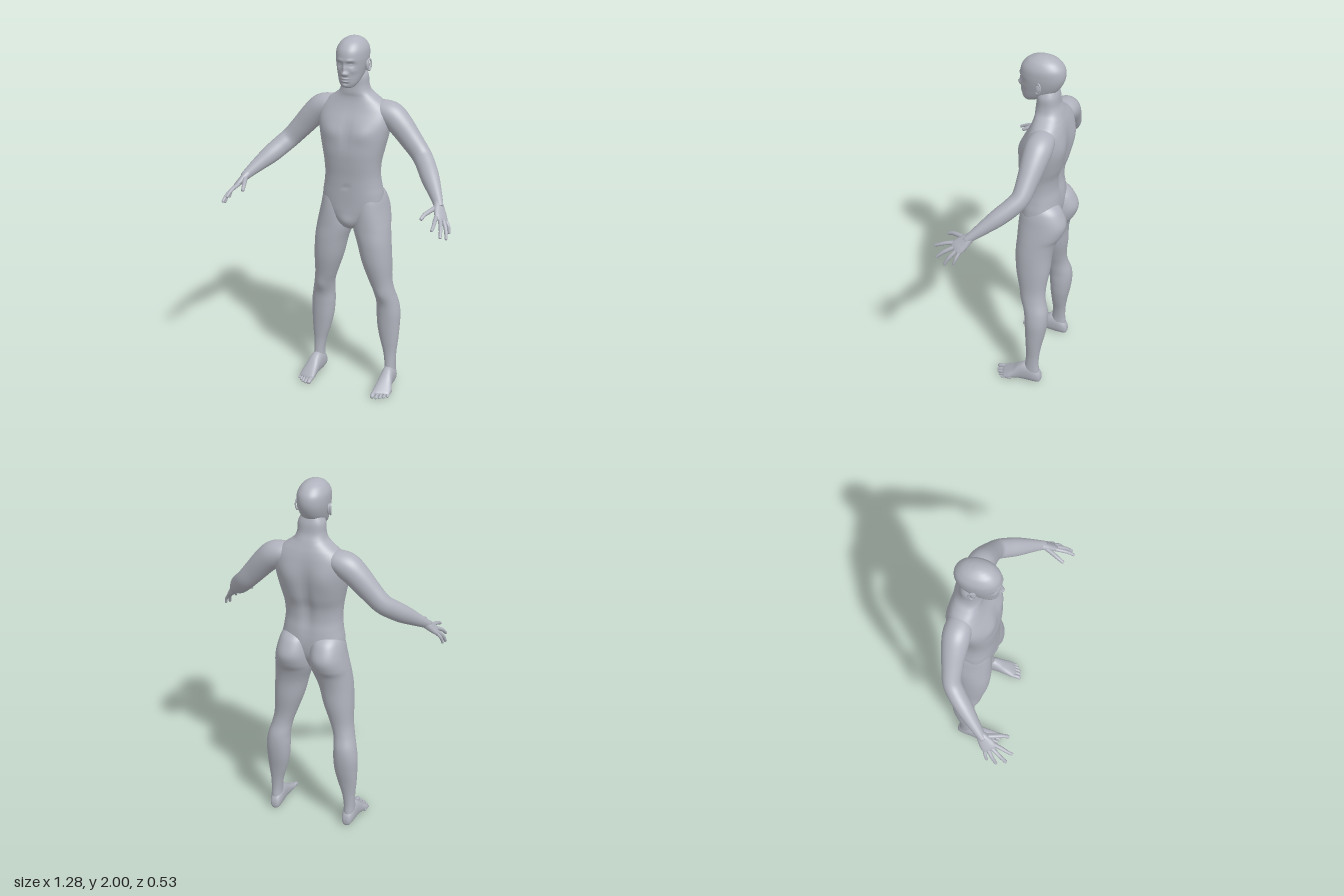
import * as THREE from 'three';

const V = (x, y, z) => new THREE.Vector3(x, y, z);
const spow = (v, e) => Math.sign(v) * Math.abs(v) ** e;

// Catmull-Rom interpolation of every column of a list of rows
function refine(rows, steps) {
  const out = [], n = rows.length;
  for (let i = 0; i < n - 1; i++) {
    const [a, b, c, d] = [rows[Math.max(i - 1, 0)], rows[i], rows[i + 1], rows[Math.min(i + 2, n - 1)]];
    for (let k = 0; k < steps; k++) {
      const t = k / steps;
      out.push(b.map((_, j) => 0.5 * (2 * b[j] + (c[j] - a[j]) * t + (2 * a[j] - 5 * b[j] + 4 * c[j] - d[j]) * t * t
        + (3 * b[j] - a[j] - 3 * c[j] + d[j]) * t ** 3)));
    }
  }
  out.push(rows[n - 1]);
  return out;
}

// Closed skin through refined rows; place(row, cos, sin, i, rows) gives each point
function loft(rows, place, { sides = 32, steps = 6, power = 2, side = 1 } = {}) {
  const r = refine(rows, steps), pos = [], idx = [], n = r.length;
  r.forEach((row, i) => {
    for (let j = 0; j < sides; j++) {
      const a = j / sides * Math.PI * 2;
      const p = place(row, spow(Math.cos(a), 2 / power), spow(Math.sin(a), 2 / power), i, r);
      pos.push(p.x * side, p.y, p.z);
    }
  });
  for (let i = 0; i < n - 1; i++) for (let j = 0; j < sides; j++) {
    const a = i * sides + j, b = i * sides + (j + 1) % sides;
    idx.push(a, b, a + sides, b, b + sides, a + sides);
  }
  // end caps
  [0, n - 1].forEach((ring) => {
    const c = V(0, 0, 0), base = ring * sides, id = pos.length / 3;
    for (let j = 0; j < sides; j++) c.add(V(...pos.slice((base + j) * 3, (base + j) * 3 + 3)));
    c.divideScalar(sides);
    pos.push(c.x, c.y, c.z);
    for (let j = 0; j < sides; j++) {
      const a = base + j, b = base + (j + 1) % sides;
      ring ? idx.push(a, b, id) : idx.push(b, a, id);
    }
  });
  // turn the skin outward if its volume comes out negative
  let vol = 0;
  const at = (i) => V(pos[i * 3], pos[i * 3 + 1], pos[i * 3 + 2]);
  for (let i = 0; i < idx.length; i += 3) vol += at(idx[i]).dot(at(idx[i + 1]).cross(at(idx[i + 2])));
  if (vol < 0) idx.reverse();
  const g = new THREE.BufferGeometry();
  g.setAttribute('position', new THREE.Float32BufferAttribute(pos, 3));
  g.setIndex(idx);
  g.computeVertexNormals();
  return g;
}

// Upright body section: [y, xMin, xMax, zFront, zBack], with bumps [x, y, dz, width, height, facing]
const upright = (bumps = []) => ([y, x0, x1, zf, zb], c, s) => {
  const p = V((x0 + x1) / 2 + c * (x1 - x0) / 2, y, (zf + zb) / 2 + s * (zf - zb) / 2);
  let dz = 0;
  for (const [bx, by, d, w, h, f] of bumps) {
    dz += d * Math.max(0, s * f) * Math.exp(-(((Math.abs(p.x) - bx) / w) ** 2) - ((y - by) / h) ** 2);
  }
  p.z += dz;
  return p;
};

// Limb section: [x, y, z, radius along ref, radius across it]
const limb = (ref) => ([x, y, z, ra, rb], c, s, i, r) => {
  const a = r[Math.max(i - 1, 0)], b = r[Math.min(i + 1, r.length - 1)];
  const dir = V(b[0] - a[0], b[1] - a[1], b[2] - a[2]).normalize();
  const u = ref.clone().addScaledVector(dir, -ref.dot(dir)).normalize();
  return V(x, y, z).addScaledVector(u, c * ra).addScaledVector(dir.cross(u), s * rb);
};

// Finger or toe: rounded, tapering tube along a path of points
function digit(points, r0, r1, side) {
  const n = points.length - 1;
  const rows = points.map((p, i) => { const r = r0 + (r1 - r0) * i / n; return [...p, r, r]; });
  const e = points[n], q = points[n - 1];
  const d = V(e[0] - q[0], e[1] - q[1], e[2] - q[2]).normalize();
  [[0.6, 0.75], [0.95, 0.15]].forEach(([k, f]) =>
    rows.push([e[0] + d.x * r1 * k, e[1] + d.y * r1 * k, e[2] + d.z * r1 * k, r1 * f, r1 * f]));
  return loft(rows, limb(V(0.54, -0.4, -0.74)), { sides: 14, steps: 4, side });
}

export function createModel() {
  const skin = new THREE.MeshStandardMaterial({ color: 0xb0b3bd });
  skin.name = 'grey skin';
  const model = new THREE.Group();
  model.name = 'standingFigure';
  const add = (name, geo) => {
    const m = new THREE.Mesh(geo, skin);
    m.name = name;
    model.add(m);
    return m;
  };
  const sym = (rows) => rows.map(([y, rx, zf, zb]) => [y, -rx, rx, zf, zb]);

  // torso and neck, with chest, navel, spine groove and shoulder blades
  add('torso', loft(sym([
    [0.945, 0.02, -0.05, -0.12], [0.965, 0.05, -0.02, -0.15], [1.0, 0.09, -0.004, -0.175], [1.05, 0.138, 0, -0.2],
    [1.1, 0.168, 0, -0.21], [1.15, 0.168, 0.001, -0.212], [1.2, 0.159, 0.002, -0.208], [1.26, 0.153, 0.004, -0.2],
    [1.33, 0.158, 0.01, -0.205], [1.4, 0.172, 0.013, -0.225], [1.48, 0.19, 0.004, -0.236], [1.55, 0.2, -0.016, -0.238],
    [1.61, 0.19, -0.045, -0.232], [1.65, 0.155, -0.06, -0.223], [1.68, 0.115, -0.066, -0.212],
    [1.705, 0.086, -0.065, -0.202], [1.74, 0.074, -0.068, -0.188], [1.79, 0.07, -0.07, -0.182], [1.83, 0.05, -0.08, -0.17],
  ]), upright([
    [0.09, 1.5, 0.011, 0.06, 0.045, 1], [0, 1.5, -0.006, 0.015, 0.08, 1], [0, 1.2, -0.006, 0.01, 0.012, 1],
    [0, 1.38, 0.018, 0.03, 0.18, -1], [0.1, 1.52, -0.012, 0.055, 0.08, -1], [0, 1.0, 0.008, 0.035, 0.035, 1],
  ]), { sides: 64, power: 2.35 }));

  // head with brow, eyes, nose, lips and chin shaped into it
  add('head', loft(sym([
    [1.744, 0.02, -0.01, -0.045], [1.75, 0.034, 0.003, -0.065], [1.768, 0.048, 0.011, -0.1], [1.79, 0.058, 0.014, -0.14],
    [1.82, 0.067, 0.016, -0.178], [1.86, 0.076, 0.018, -0.202], [1.9, 0.08, 0.021, -0.212], [1.94, 0.077, 0.012, -0.206],
    [1.972, 0.06, -0.014, -0.18], [1.99, 0.037, -0.046, -0.148], [1.998, 0.017, -0.073, -0.117], [2.0, 0.002, -0.093, -0.097],
  ]), upright([
    [0, 1.826, 0.019, 0.013, 0.012, 1], [0, 1.85, 0.011, 0.009, 0.02, 1], [0.014, 1.822, 0.007, 0.007, 0.008, 1],
    [0.032, 1.873, -0.014, 0.016, 0.012, 1], [0.032, 1.871, 0.007, 0.01, 0.006, 1], [0.028, 1.894, 0.005, 0.024, 0.008, 1],
    [0, 1.798, 0.008, 0.019, 0.005, 1], [0, 1.784, 0.008, 0.017, 0.005, 1], [0, 1.772, -0.004, 0.018, 0.005, 1],
    [0, 1.758, 0.004, 0.016, 0.009, 1], [0.046, 1.838, 0.006, 0.014, 0.014, 1],
  ]), { sides: 112, steps: 9, power: 2.15 }));

  for (const [side, word] of [[1, 'left'], [-1, 'right']]) {
    const opt = { side, sides: 40 };

    // ear: filled shell with a raised rim
    const ear = add(word + 'Ear', new THREE.SphereGeometry(1, 20, 14));
    ear.scale.set(0.011, 0.029, 0.016);
    ear.position.set(side * 0.08, 1.853, -0.098);
    const rim = add(word + 'EarRim', new THREE.TorusGeometry(0.021, 0.0045, 10, 28));
    rim.scale.set(0.72, 1.35, 1);
    rim.rotation.set(-0.12, side * 1.15, 0);
    rim.position.set(side * 0.088, 1.855, -0.101);

    // leg, with the buttock at its top
    add(word + 'Leg', loft([
      [1.2, 0.04, 0.12, -0.06, -0.15], [1.16, 0.015, 0.158, -0.03, -0.212], [1.12, 0.006, 0.175, -0.016, -0.243],
      [1.06, 0.002, 0.188, -0.008, -0.265], [1.0, 0.001, 0.2, -0.005, -0.25], [0.95, 0.006, 0.208, -0.004, -0.222],
      [0.87, 0.034, 0.217, -0.002, -0.202], [0.76, 0.062, 0.223, -0.01, -0.195], [0.65, 0.1, 0.225, -0.034, -0.182],
      [0.58, 0.123, 0.236, -0.053, -0.186], [0.51, 0.132, 0.254, -0.073, -0.204], [0.44, 0.132, 0.265, -0.08, -0.206],
      [0.36, 0.138, 0.264, -0.084, -0.196], [0.28, 0.155, 0.26, -0.089, -0.18], [0.2, 0.178, 0.252, -0.093, -0.168],
      [0.13, 0.189, 0.25, -0.088, -0.165], [0.07, 0.19, 0.25, -0.08, -0.17], [0.03, 0.195, 0.245, -0.09, -0.16],
    ], upright([[0.178, 0.57, 0.008, 0.035, 0.045, 1]]), { ...opt, power: 2.15 }));

    // foot: [z, centre x, half width, bottom, top], cut back toward the small toe
    add(word + 'Foot', loft([
      [-0.182, 0.218, 0.012, 0.02, 0.045], [-0.172, 0.218, 0.025, 0.004, 0.075], [-0.14, 0.219, 0.034, 0, 0.11],
      [-0.09, 0.221, 0.036, 0, 0.122], [-0.05, 0.224, 0.038, 0.002, 0.104], [-0.01, 0.227, 0.043, 0.002, 0.075],
      [0.03, 0.23, 0.048, 0, 0.05], [0.055, 0.231, 0.047, 0.001, 0.033], [0.065, 0.231, 0.042, 0.005, 0.023],
    ], ([z, x, rx, y0, y1], c, s) => {
      const px = x + c * rx;
      return V(px, (y0 + y1) / 2 + s * (y1 - y0) / 2, z - (px - 0.19) * 0.4 * THREE.MathUtils.smoothstep(z, -0.08, 0.05));
    }, { ...opt, power: 2.3 }));
    [[0.195, 0.08, 0.0135], [0.218, 0.079, 0.009], [0.237, 0.07, 0.0085], [0.255, 0.056, 0.008], [0.271, 0.039, 0.0075]]
      .forEach(([x, z, r], i) => add(word + 'Toe' + (i + 1),
        digit([[x, r + 0.01, z - 0.055], [x, r + 0.007, z - 0.02], [x, r, z]], r, r * 0.9, side)));

    // arm from inside the shoulder to the wrist
    add(word + 'Arm', loft([
      [0.1, 1.612, -0.15, 0.05, 0.04], [0.15, 1.605, -0.15, 0.066, 0.058], [0.2, 1.584, -0.149, 0.071, 0.07],
      [0.25, 1.54, -0.145, 0.066, 0.067], [0.315, 1.467, -0.137, 0.055, 0.06], [0.375, 1.4, -0.124, 0.048, 0.054],
      [0.415, 1.36, -0.09, 0.047, 0.053], [0.462, 1.312, -0.034, 0.044, 0.05], [0.51, 1.264, 0.026, 0.033, 0.038],
      [0.545, 1.227, 0.072, 0.024, 0.028], [0.56, 1.208, 0.095, 0.02, 0.024],
    ], limb(V(0, 0, 1)), opt));

    // palm, thumb and fingers
    const across = V(0.54, -0.4, -0.74);
    add(word + 'Palm', loft([
      [0.54, 1.232, 0.065, 0.02, 0.018], [0.555, 1.213, 0.088, 0.029, 0.021], [0.57, 1.192, 0.11, 0.037, 0.018],
      [0.584, 1.173, 0.13, 0.04, 0.015], [0.592, 1.162, 0.142, 0.036, 0.011], [0.596, 1.157, 0.147, 0.02, 0.006],
    ], limb(across), { side, sides: 28, power: 2.3 }));
    const fingers = {
      Thumb: [[0.552, 1.212, 0.09], [0.53, 1.203, 0.145], [0.515, 1.194, 0.182], [0.507, 1.18, 0.21]],
      IndexFinger: [[0.566, 1.183, 0.145], [0.574, 1.172, 0.195], [0.579, 1.16, 0.225], [0.58, 1.146, 0.253]],
      MiddleFinger: [[0.58, 1.173, 0.138], [0.602, 1.148, 0.184], [0.612, 1.128, 0.21], [0.618, 1.106, 0.232]],
      RingFinger: [[0.592, 1.165, 0.126], [0.618, 1.132, 0.156], [0.628, 1.107, 0.172], [0.633, 1.084, 0.184]],
      LittleFinger: [[0.6, 1.16, 0.112], [0.622, 1.132, 0.124], [0.629, 1.113, 0.13], [0.632, 1.097, 0.135]],
    };
    for (const [name, path] of Object.entries(fingers)) {
      const r = name === 'Thumb' ? 0.0135 : name === 'LittleFinger' ? 0.0095 : 0.0115;
      add(word + name, digit(path, r, r * 0.68, side));
    }
  }
  return model;
}
